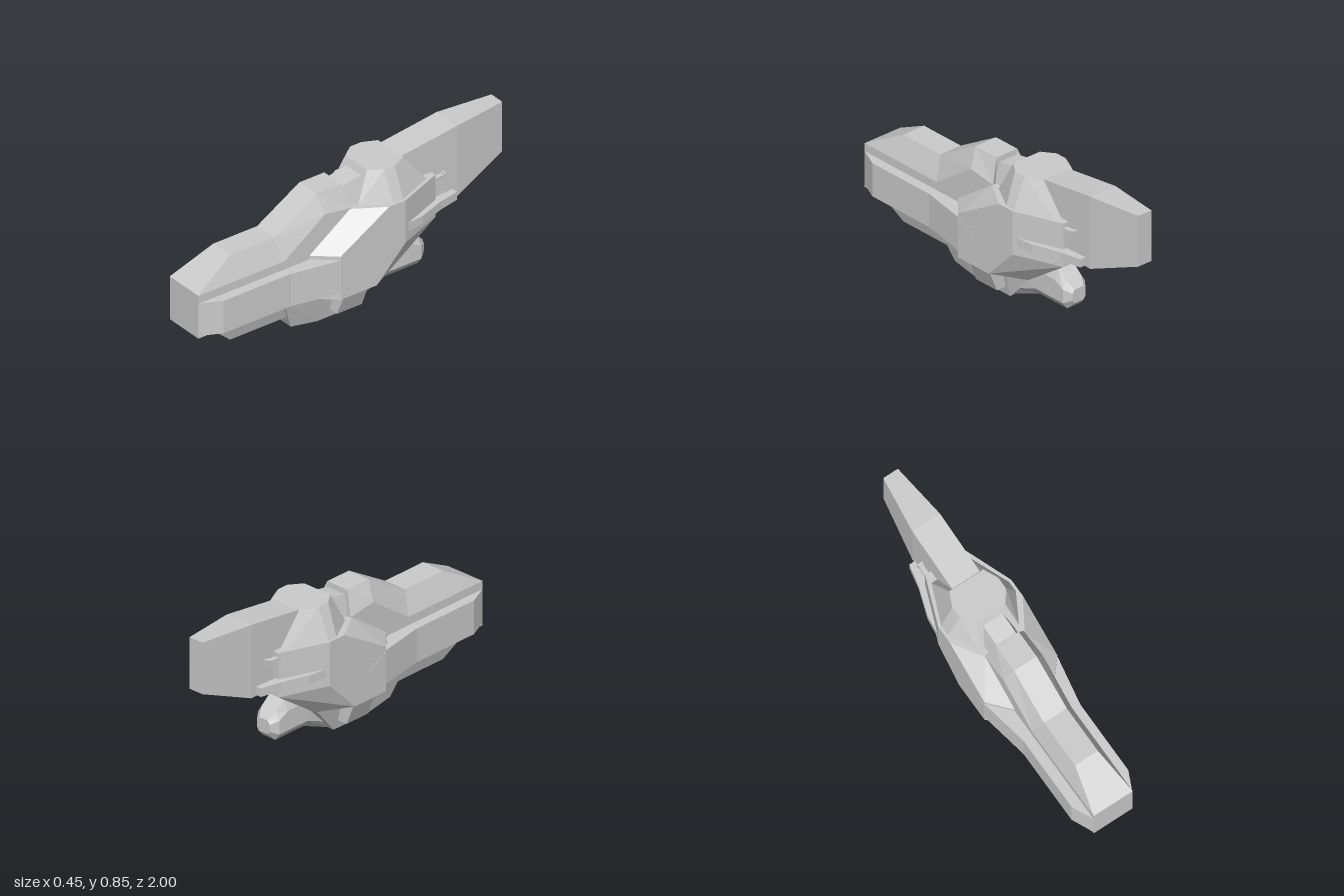
import * as THREE from 'three';
import { ConvexGeometry } from 'three/addons/geometries/ConvexGeometry.js';

export function createModel() {
  const model = new THREE.Group();
  const mat = new THREE.MeshStandardMaterial({ color: 0xcccccc, flatShading: true });

  function add(name, geo) {
    const mesh = new THREE.Mesh(geo, mat);
    mesh.name = name;
    model.add(mesh);
    return mesh;
  }

  // Loft through sections ordered front to back. Each section is the +x half
  // outline from bottom to top, as [x, y, z], and is mirrored to a closed ring.
  function loft(name, sections) {
    const rings = sections.map(s => [...s, ...s.slice().reverse().map(([x, y, z]) => [-x, y, z])]);
    const pos = [];
    const tri = (a, b, c) => pos.push(...a, ...b, ...c);
    const n = rings[0].length, last = rings[rings.length - 1];
    for (let k = 0; k + 1 < rings.length; k++) {
      const a = rings[k], b = rings[k + 1];
      for (let i = 0; i < n; i++) {
        const j = (i + 1) % n;
        tri(a[i], b[i], a[j]);
        tri(a[j], b[i], b[j]);
      }
    }
    for (let i = 1; i < n - 1; i++) {
      tri(rings[0][0], rings[0][i], rings[0][i + 1]);
      tri(last[0], last[i + 1], last[i]);
    }
    const geo = new THREE.BufferGeometry();
    geo.setAttribute('position', new THREE.Float32BufferAttribute(pos, 3));
    geo.computeVertexNormals();
    return add(name, geo);
  }

  // Convex solid from points; side = 0 spans both sides, +1 / -1 sits on one.
  function hull(name, pts, side = 0) {
    const v = [];
    for (const s of side ? [side] : [1, -1]) {
      for (const [x, y, z] of pts) v.push(new THREE.Vector3(s * x, y, z));
    }
    return add(name, new ConvexGeometry(v));
  }

  // Plan outline [x, z] extruded upward from y0 to y1
  function slab(name, outline, y0, y1, side) {
    const pts = outline.map(([x, z]) => new THREE.Vector2(side * x, -z));
    const geo = new THREE.ExtrudeGeometry(new THREE.Shape(pts), { depth: y1 - y0, bevelEnabled: false });
    geo.rotateX(-Math.PI / 2).translate(0, y0, 0);
    return add(name, geo);
  }

  // Long nose with a stepped, chamfered ridge
  loft('nose', [
    [[0.12, 0.22, 1], [0.12, 0.475, 1], [0.12, 0.475, 1]],
    [[0.12, 0.22, 0.76], [0.12, 0.475, 0.76], [0.07, 0.605, 0.76]],
    [[0.12, 0.22, 0.47], [0.12, 0.475, 0.45], [0.07, 0.605, 0.48]],
    [[0.12, 0.2, 0.2], [0.12, 0.66, 0.19], [0.07, 0.765, 0.21]],
    [[0.12, 0.2, 0.02], [0.12, 0.635, 0.02], [0.07, 0.765, 0.05]],
  ]);

  // Chin under the nose
  loft('chin', [
    [[0.07, 0.1, 0.76], [0.107, 0.225, 0.9]],
    [[0.07, 0.1, 0.38], [0.107, 0.225, 0.38]],
  ]);

  // Keel under the body
  loft('keel', [
    [[0.067, 0.03, 0.37], [0.12, 0.225, 0.45]],
    [[0.067, 0, 0.2], [0.12, 0.225, 0.2]],
    [[0.067, 0, -0.05], [0.12, 0.225, -0.05]],
    [[0.067, 0.19, -0.24], [0.12, 0.225, -0.26]],
  ]);

  // Central body, faceted in plan and cut away below at the rear
  hull('body', [
    [0.12, 0.193, 0.29], [0.12, 0.45, 0.29], [0.12, 0.632, 0.03],
    [0.225, 0.193, 0.17], [0.225, 0.45, 0.17], [0.225, 0.632, -0.14],
    [0.225, 0.632, -0.245], [0.225, 0.38, -0.245], [0.225, 0.193, -0.06],
    [0.12, 0.193, -0.245], [0.12, 0.38, -0.515], [0.12, 0.632, -0.515],
  ]);

  // Cabin on top of the body
  hull('cabin', [
    [0.12, 0.63, -0.02], [0.21, 0.63, -0.18], [0.21, 0.63, -0.24], [0.12, 0.63, -0.46],
    [0.09, 0.802, -0.1], [0.142, 0.802, -0.17], [0.142, 0.802, -0.24], [0.105, 0.802, -0.32],
  ]);

  // Neck joining nose ridge and cabin
  hull('neck', [
    [0.09, 0.63, 0.04], [0.06, 0.74, 0.04], [0.1, 0.63, -0.13], [0.06, 0.765, -0.1],
  ]);

  // Deep tail that narrows in plan
  loft('tail', [
    [[0.085, 0.425, -0.3], [0.085, 0.795, -0.3]],
    [[0.085, 0.425, -0.68], [0.085, 0.845, -0.68]],
    [[0.045, 0.555, -1], [0.045, 0.85, -1]],
  ]);

  // Rear thruster below the tail
  loft('thruster', [
    [[0.04, 0.01, -0.06], [0.065, 0.05, -0.06], [0.07, 0.19, -0.06], [0.05, 0.2, -0.06]],
    [[0.045, 0.09, -0.25], [0.075, 0.13, -0.25], [0.075, 0.25, -0.25], [0.05, 0.3, -0.25]],
    [[0.045, 0.09, -0.4], [0.075, 0.13, -0.4], [0.075, 0.24, -0.4], [0.05, 0.3, -0.4]],
    [[0.045, 0.09, -0.46], [0.075, 0.13, -0.46], [0.075, 0.21, -0.46], [0.05, 0.25, -0.46]],
    [[0.03, 0.13, -0.5], [0.045, 0.15, -0.5], [0.045, 0.19, -0.5], [0.03, 0.21, -0.5]],
  ]);

  for (const [side, label] of [[1, 'left'], [-1, 'right']]) {
    // Long side pod along the nose
    slab(label + 'SidePod', [
      [0.1, 1], [0.12, 1], [0.175, 0.88], [0.175, 0.45], [0.226, 0.17], [0.1, 0.17],
    ], 0.235, 0.428, side);

    // Pointed plate closing the pod on the body
    hull(label + 'SidePlate', [
      [0.2, 0.24, 0.17], [0.2, 0.42, 0.17], [0.227, 0.24, 0.17], [0.227, 0.42, 0.17],
      [0.2, 0.3, 0.05], [0.2, 0.36, 0.05], [0.227, 0.3, 0.05], [0.227, 0.36, 0.05],
    ], side);

    // Slanted bracket beside the keel
    hull(label + 'Bracket', [
      [0.2, 0.2, 0.12], [0.14, 0.052, 0.13], [0.2, 0.2, -0.03], [0.14, 0.052, -0.03],
      [0.1, 0.2, 0.12], [0.07, 0.052, 0.13], [0.1, 0.2, -0.03], [0.07, 0.052, -0.03],
    ], side);

    // Lower rear fin
    slab(label + 'LowerFin', [
      [0.16, -0.27], [0.217, -0.27], [0.205, -0.37], [0.15, -0.53], [0.125, -0.65],
      [0.09, -0.65], [0.1, -0.5],
    ], 0.435, 0.483, side);

    // Short upper rod with a blunt tip
    slab(label + 'UpperRod', [
      [0.1, -0.45], [0.13, -0.45], [0.115, -0.58], [0.09, -0.58],
    ], 0.59, 0.608, side);
    slab(label + 'RodTip', [
      [0.088, -0.575], [0.12, -0.575], [0.12, -0.588], [0.088, -0.588],
    ], 0.58, 0.615, side);
  }

  return model;
}
